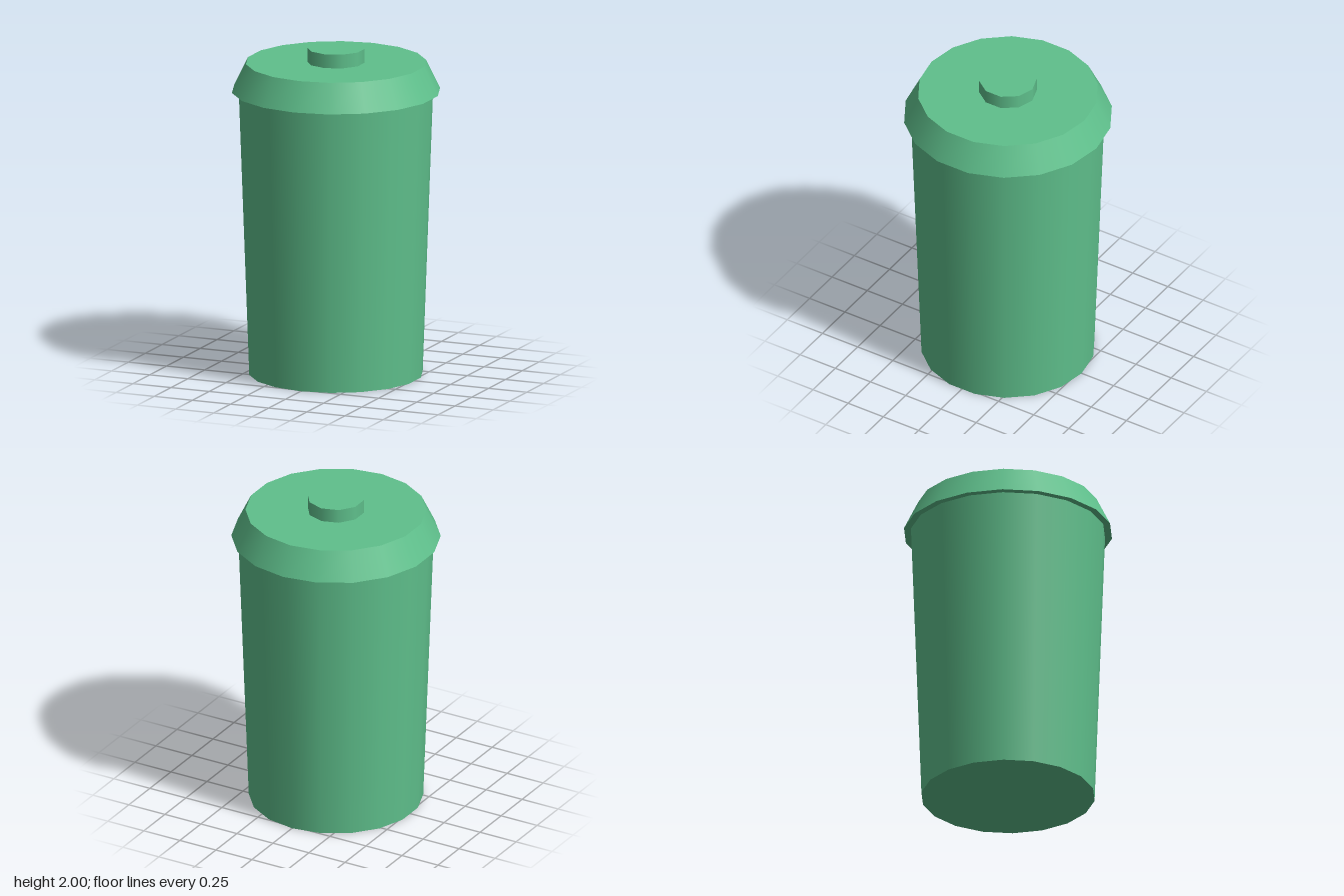
import * as THREE from 'three';

export function createModel() {
  const group = new THREE.Group();
  const green = new THREE.MeshStandardMaterial({ color: 0x5fc08c });

  // Tapered round part standing between two heights
  const addRound = (name, topRadius, bottomRadius, y0, y1, sides) => {
    const geometry = new THREE.CylinderGeometry(topRadius, bottomRadius, y1 - y0, sides);
    const mesh = new THREE.Mesh(geometry, green);
    mesh.name = name;
    mesh.position.y = (y0 + y1) / 2;
    group.add(mesh);
  };

  // Bin body, widening upwards
  addRound('body', 0.586, 0.523, 0, 1.74, 18);
  // Overhanging sloped lid
  addRound('lid', 0.543, 0.628, 1.74, 1.915, 18);
  // Small knob on the lid
  addRound('knob', 0.173, 0.173, 1.915, 2, 10);

  return group;
}
